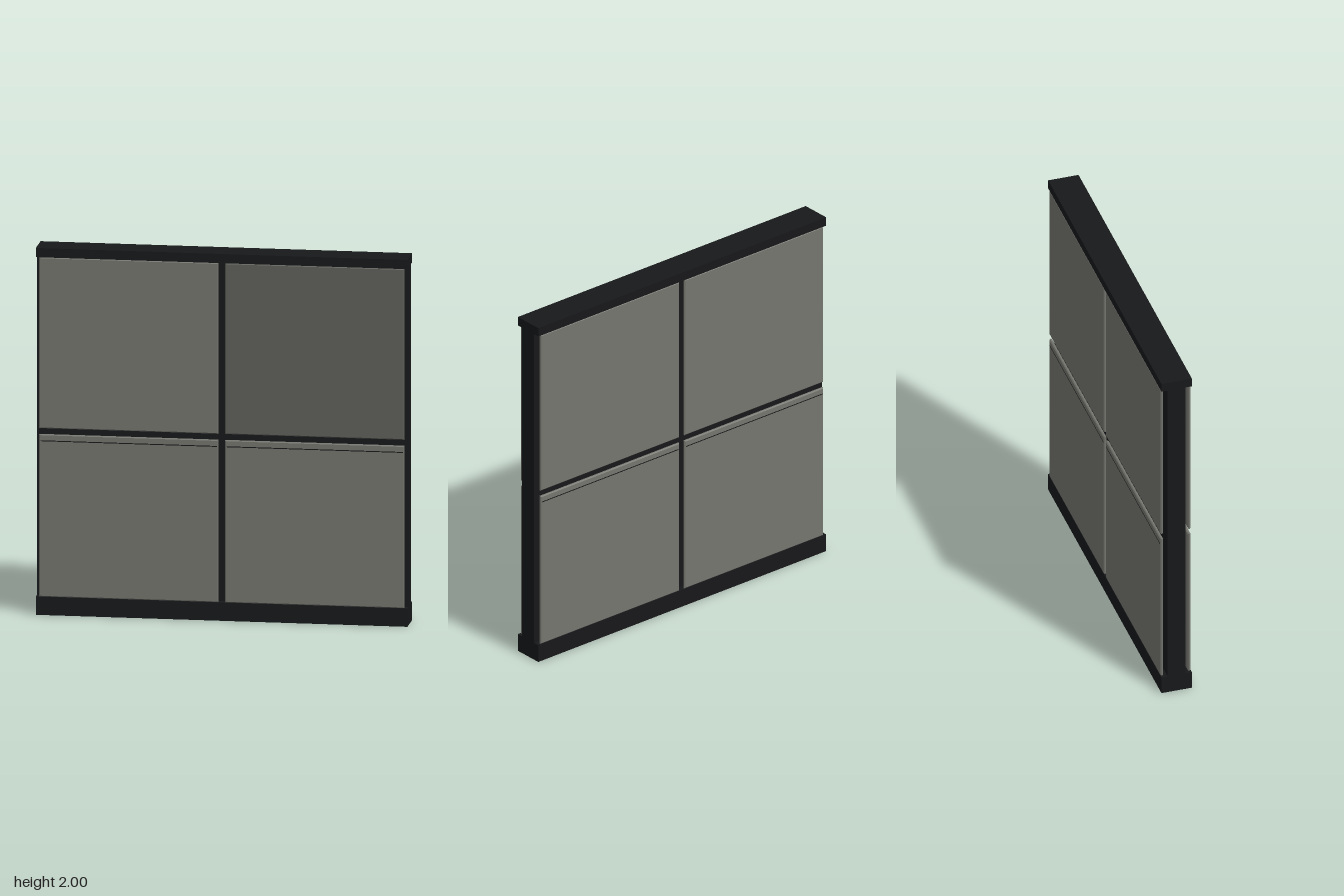
import * as THREE from 'three';

export function createModel() {
  const model = new THREE.Group();
  const paint = (color) => new THREE.MeshStandardMaterial({ color });
  const frame = paint(0x17181a);
  const panelPaint = paint(0x74756e);
  const darkPaint = paint(0x60615b);

  function box(name, w, h, d, x, y, z, material, parent = model) {
    const mesh = new THREE.Mesh(new THREE.BoxGeometry(w, h, d), material);
    mesh.name = name;
    mesh.position.set(x, y, z);
    parent.add(mesh);
  }

  // Dark frame: core slab between a base and a top rail
  box('core', 2, 1.85, 0.1, 0, 1.025, 0, frame);
  box('base', 2, 0.1, 0.17, 0, 0.05, 0, frame);
  box('topRail', 2, 0.05, 0.17, 0, 1.975, 0, frame);

  // Thin panel with chamfered edges, facing +z from z = 0.068 to 0.085
  const bevel = 0.005;
  function panelGeometry(w, h) {
    const x = w / 2 - bevel, y = h / 2 - bevel;
    const shape = new THREE.Shape([
      new THREE.Vector2(-x, -y), new THREE.Vector2(x, -y),
      new THREE.Vector2(x, y), new THREE.Vector2(-x, y),
    ]);
    return new THREE.ExtrudeGeometry(shape, {
      depth: 0.007, bevelEnabled: true, bevelThickness: bevel, bevelSize: bevel, bevelSegments: 1,
    });
  }

  // Four panels floating off each face of the core
  const rows = [
    { name: 'upper', bottom: 1.018, top: 1.95 },
    { name: 'lower', bottom: 0.1, top: 0.985 },
  ];
  for (const face of ['front', 'back']) {
    const side = new THREE.Group();
    side.name = face + 'Panels';
    if (face === 'back') side.rotation.y = Math.PI;
    for (const row of rows) {
      const geometry = panelGeometry(0.965, row.top - row.bottom);
      for (const s of [-1, 1]) {
        const isDark = face === 'front' && row.name === 'upper' && s === 1;
        const panel = new THREE.Mesh(geometry, isDark ? darkPaint : panelPaint);
        panel.name = row.name + 'Panel';
        panel.position.set(s * 0.5, (row.top + row.bottom) / 2, 0.073);
        side.add(panel);
        // Fine dark seam near the top of the lower panels
        if (row.name === 'lower') box('seam', 0.95, 0.005, 0.002, s * 0.5, 0.95, 0.0845, frame, side);
      }
    }
    model.add(side);
  }
  return model;
}
